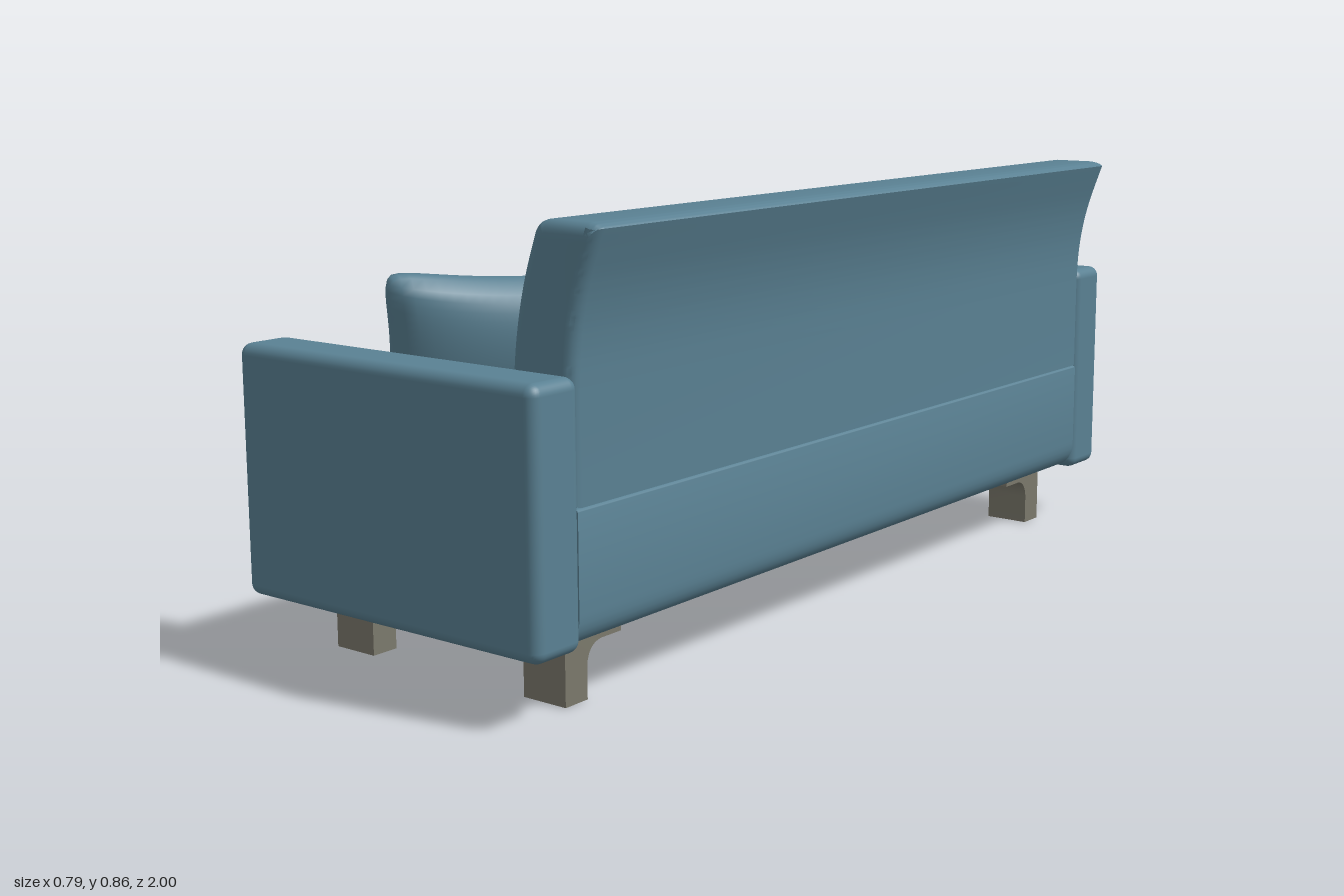
import * as THREE from 'three';
import { mergeVertices, toCreasedNormals } from 'three/addons/utils/BufferGeometryUtils.js';
import { RoundedBoxGeometry } from 'three/addons/geometries/RoundedBoxGeometry.js';

const fabric = new THREE.MeshStandardMaterial({ color: 0x5a8193 });
fabric.name = 'blueFabric';
const wood = new THREE.MeshStandardMaterial({ color: 0x7b796c });
wood.name = 'greyWood';

function mesh(name, geometry, material = fabric) {
  const m = new THREE.Mesh(geometry, material);
  m.name = name;
  return m;
}

// Extrude an x-y profile along z, centred on z = 0, with soft ends
function alongZ(shape, length, bevel = 0) {
  const g = new THREE.ExtrudeGeometry(shape, {
    depth: length - 2 * bevel, curveSegments: 8, bevelEnabled: bevel > 0,
    bevelSize: bevel, bevelThickness: bevel, bevelOffset: -bevel, bevelSegments: 4,
  });
  g.translate(0, 0, -length / 2 + bevel);
  return toCreasedNormals(g, 0.6);
}

// Closed profile through [x, y, r] corners, each rounded by radius r
function roundedProfile(corners) {
  const s = new THREE.Shape();
  const pts = corners.map(([x, y]) => new THREE.Vector2(x, y));
  corners.forEach(([x, y, r], i) => {
    const p = pts[i];
    const prev = pts[(i + pts.length - 1) % pts.length];
    const next = pts[(i + 1) % pts.length];
    const a = prev.clone().sub(p).setLength(r).add(p);
    const b = next.clone().sub(p).setLength(r).add(p);
    if (i === 0) s.moveTo(a.x, a.y); else s.lineTo(a.x, a.y);
    if (r > 0) s.quadraticCurveTo(x, y, b.x, b.y);
  });
  s.closePath();
  return s;
}

// Throw pillow: pinched edges, pointed soft corners, bulging middle
function pillowGeometry(width, height, halfThickness) {
  let g = new THREE.BoxGeometry(2, 2, 2, 24, 24, 2);
  g.deleteAttribute('uv');
  g.deleteAttribute('normal');
  g = mergeVertices(g);
  const p = g.attributes.position;
  for (let i = 0; i < p.count; i++) {
    const u = p.getX(i), v = p.getY(i), side = p.getZ(i);
    const corner = 1 - 0.07 * Math.pow(u * v, 8);
    const rim = 1 + 0.012 * (1 - Math.abs(side));
    const bulge = Math.sqrt(Math.max(0, (1 - u * u) * (1 - v * v)));
    p.setXYZ(i,
      u * width / 2 * (1 - 0.08 * (1 - v * v)) * corner * rim,
      v * height / 2 * (1 - 0.14 * (1 - u * u)) * corner * rim,
      side * (0.014 + (halfThickness - 0.014) * bulge));
  }
  g.computeVertexNormals();
  return g;
}

export function createModel() {
  const sofa = new THREE.Group();
  sofa.name = 'sofa';

  // Arms
  for (const side of [1, -1]) {
    const arm = mesh(side > 0 ? 'frontArm' : 'rearArm', new RoundedBoxGeometry(0.733, 0.477, 0.117, 4, 0.022));
    arm.position.set(-0.0285, 0.3635, side * 0.9415);
    sofa.add(arm);
  }

  // Base frame with a raised rail under the backrest
  sofa.add(mesh('base', alongZ(roundedProfile([
    [-0.375, 0.127, 0.04], [0.335, 0.127, 0.06], [0.335, 0.374, 0.008],
    [0.2, 0.374, 0], [0.2, 0.28, 0], [-0.375, 0.28, 0.035],
  ]), 1.78)));

  // Seat cushion
  sofa.add(mesh('seatCushion', alongZ(roundedProfile([
    [-0.375, 0.28, 0.03], [0.25, 0.28, 0.01], [0.25, 0.39, 0.01], [-0.375, 0.39, 0.05],
  ]), 1.775, 0.012)));

  // Backrest, curving away towards the top
  const back = new THREE.Shape();
  back.moveTo(0.19, 0.376);
  back.lineTo(0.335, 0.376);
  back.lineTo(0.335, 0.58);
  back.splineThru([[0.338, 0.64], [0.346, 0.7], [0.362, 0.765], [0.392, 0.85]].map(a => new THREE.Vector2(...a)));
  back.quadraticCurveTo(0.387, 0.858, 0.365, 0.86);
  back.lineTo(0.278, 0.86);
  back.quadraticCurveTo(0.256, 0.858, 0.248, 0.838);
  back.splineThru([[0.222, 0.76], [0.204, 0.68], [0.194, 0.6], [0.19, 0.5]].map(a => new THREE.Vector2(...a)));
  back.closePath();
  sofa.add(mesh('backrest', alongZ(back, 1.802, 0.022)));

  // Throw pillows: position, heading of the face, backward tilt
  const pillow = pillowGeometry(0.57, 0.385, 0.088);
  const places = [
    ['middlePillow', 0.083, 0.553, -0.03, -Math.PI / 2, 0.32],
    ['frontPillow', 0.025, 0.564, 0.658, -Math.PI / 2 - 0.57, 0.27],
    ['rearPillow', 0.003, 0.572, -0.665, -Math.PI / 2 + 0.67, 0.3],
  ];
  for (const [name, x, y, z, heading, tilt] of places) {
    const m = mesh(name, pillow);
    m.position.set(x, y, z);
    m.rotation.set(-tilt, heading, 0, 'YXZ');
    sofa.add(m);
  }

  // Bracket legs: post outside, curved into a thin plate running inwards
  const leg = new THREE.Shape();
  leg.moveTo(0.85, 0);
  leg.lineTo(0.85, 0.13);
  leg.lineTo(0.7, 0.13);
  leg.lineTo(0.7, 0.104);
  leg.lineTo(0.755, 0.104);
  leg.quadraticCurveTo(0.788, 0.1, 0.792, 0.064);
  leg.lineTo(0.792, 0);
  leg.closePath();
  const legGeometry = alongZ(leg, 0.099);
  for (const x of [-0.27, 0.215]) {
    for (const side of [1, -1]) {
      const m = mesh('leg', legGeometry, wood);
      m.rotation.y = -side * Math.PI / 2;
      m.position.x = x;
      sofa.add(m);
    }
  }
  return sofa;
}
